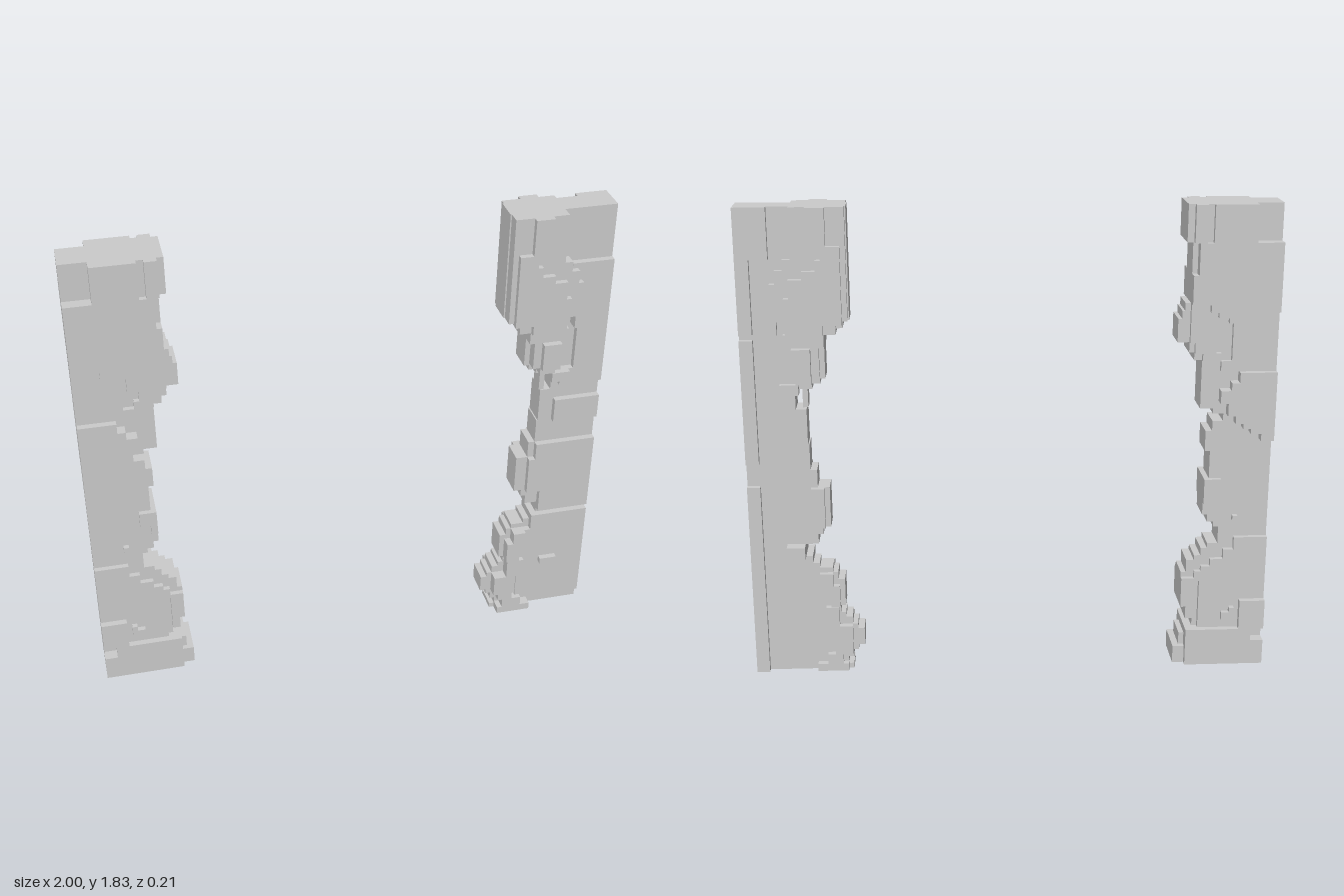
import * as THREE from 'three';

const material = new THREE.MeshStandardMaterial({ color: 0xcccccc, flatShading: true });

// Blocky plate: stacked rows [top y, left x, right x] from y0 upward, between z0 and z1
function plate(group, name, y0, rows, z0, z1) {
  const left = [], right = [];
  let y = y0;
  for (const [top, a, b] of rows) {
    left.push([a, y], [a, top]);
    right.push([b, y], [b, top]);
    y = top;
  }
  const outline = [...right, ...left.reverse()].map(([px, py]) => new THREE.Vector2(px, py));
  const points = outline.filter((p, i) => !p.equals(outline[(i + 1) % outline.length]));
  const geometry = new THREE.ExtrudeGeometry(new THREE.Shape(points), { depth: z1 - z0, bevelEnabled: false });
  geometry.translate(0, 0, z0);
  const mesh = new THREE.Mesh(geometry, material);
  mesh.name = name;
  group.add(mesh);
}

// The same plate on the front and the back of a core
function pair(group, name, y0, rows, inner, outer) {
  plate(group, name + 'Front', y0, rows, inner, outer);
  plate(group, name + 'Back', y0, rows, -outer, -inner);
}

function rightPillar() {
  const g = new THREE.Group();
  g.name = 'rightPillar';
  // full-height core with a stepped inner edge
  const edge = [[.07, -.645], [.12, -.67], [.15, -.69], [.19, -.72], [.24, -.69], [.38, -.67], [.43, -.69],
    [.45, -.72], [.48, -.745], [.5, -.77], [.57, -.81], [.59, -.79], [.62, -.765], [.77, -.745], [.88, -.765],
    [.96, -.745], [1, -.77], [1.03, -.81], [1.05, -.77], [1.24, -.72], [1.27, -.69], [1.31, -.67],
    [1.4, -.625], [1.43, -.64], [1.46, -.65], [1.69, -.67], [1.83, -.645]];
  plate(g, 'core', 0, edge.map(([y, x]) => [y, -1, x]), -.06, .06);
  // foot and lower rocks
  pair(g, 'foot', 0, [[.1, -1, -.69], [.15, -.95, -.69]], .06, .105);
  pair(g, 'footEdge', 0, [[.07, -.69, -.645]], .06, .08);
  pair(g, 'lowerStair', .15, [[.35, -1, -.74], [.39, -1, -.72], [.41, -1, -.745], [.44, -1, -.78],
    [.48, -1, -.83], [.53, -1, -.87]], .06, .08);
  pair(g, 'lowerBlock', .15, [[.27, -1, -.9]], .08, .105);
  pair(g, 'lowerRidge', .19, [[.24, -.72, -.69], [.36, -.72, -.67]], .06, .08);
  pair(g, 'smallKnob', .19, [[.22, -.88, -.83], [.24, -.88, -.86]], .08, .1);
  // middle rocks
  pair(g, 'middleKnob', .6, [[.62, -.88, -.86]], .06, .08);
  pair(g, 'middleBlock', .67, [[.71, -.77, -.745], [.77, -.81, -.745]], .06, .08);
  pair(g, 'middleStair', .93, [[.96, -1, -.95], [.98, -1, -.91], [1, -1, -.88], [1.03, -1, -.85],
    [1.08, -1, -.82], [1.13, -1, -.79], [1.16, -1, -.83], [1.2, -1, -.86]], .06, .105);
  // upper rocks and head
  pair(g, 'neck', 1.2, [[1.24, -1, -.79], [1.46, -1, -.83]], .06, .08);
  pair(g, 'upperStair', 1.24, [[1.27, -.79, -.72], [1.31, -.77, -.69], [1.4, -.81, -.67], [1.46, -.83, -.67]], .06, .08);
  pair(g, 'headUnderside', 1.39, [[1.41, -.9, -.81], [1.43, -.9, -.77], [1.46, -1, -.74]], .08, .105);
  pair(g, 'head', 1.46, [[1.57, -1, -.67], [1.69, -1, -.69], [1.83, -.9, -.74]], .06, .105);
  pair(g, 'headGroove', 1.69, [[1.83, -.74, -.715]], .06, .085);
  pair(g, 'headCorner', 1.69, [[1.83, -.715, -.67]], .06, .105);
  pair(g, 'headEdge', 1.69, [[1.83, -.67, -.645]], .06, .08);
  return g;
}

function leftPillar() {
  const g = new THREE.Group();
  g.name = 'leftPillar';
  // full-height core with a stepped inner edge and a slot
  const edge = [[.02, .62], [.05, .64], [.08, .62], [.1, .6], [.17, .575], [.19, .6], [.22, .62], [.24, .645],
    [.27, .665], [.38, .645], [.41, .67], [.43, .69], [.45, .74], [.48, .765], [.53, .79], [.57, .74],
    [.6, .72], [.76, .69], [.83, .735], [.93, .76], [1.07, .765], [1.15, .805], [1.17, .74], [1.19, .71],
    [1.36, .69], [1.38, .645], [1.41, .62], [1.83, .595]];
  plate(g, 'core', 0, edge.map(([y, x]) => [y, x, 1]), -.06, .035);
  plate(g, 'slotPost', 1.07, [[1.15, .76, .78]], -.03, .03);
  // raised strip along the outer back edge, with gaps
  for (const [a, b] of [[0, .48], [.48, .77], [.86, 1.34], [1.36, 1.64]])
    plate(g, 'backStrip', a, [[b, .95, 1]], -.083, -.06);
  plate(g, 'backTop', 1.64, [[1.83, .88, 1]], -.083, -.06);
  // front slabs of the lower and middle body
  plate(g, 'lowerSlab', .05, [[.19, .72, 1], [.27, .74, 1], [.41, .7, 1], [.48, .765, 1]], .035, .06);
  plate(g, 'middleSlab', .5, [[.6, .79, 1], [.76, .735, 1], [.83, .76, 1]], .035, .06);
  plate(g, 'bandSlab', .93, [[1.03, .82, 1]], .035, .06);
  plate(g, 'bandSlab', 1.1, [[1.17, .83, 1], [1.24, .88, 1]], .035, .06);
  plate(g, 'upperSlab', 1.24, [[1.55, .88, 1], [1.62, .84, 1]], .035, .06);
  plate(g, 'frontKnob', .24, [[.265, .81, .88]], .06, .083);
  plate(g, 'backKnob', .48, [[.53, .79, .86]], -.105, -.06);
  // rocks at the inner foot and waist
  plate(g, 'footRock', 0, [[.03, .64, .78], [.07, .66, .74], [.1, .64, .7], [.19, .62, .71], [.27, .67, .74]], .035, .08);
  plate(g, 'footRockBack', 0, [[.03, .64, .76], [.07, .66, .72], [.19, .62, .69], [.27, .67, .72]], -.085, -.06);
  plate(g, 'kneeRock', .27, [[.36, .665, .72], [.41, .69, .74]], .035, .08);
  plate(g, 'kneeRockBack', .27, [[.36, .665, .7], [.41, .69, .74]], -.083, -.06);
  plate(g, 'waistRockBack', .6, [[.76, .71, .76]], -.083, -.06);
  // neck rocks under the head
  pair(g, 'neckRock', 1.17, [[1.2, .74, .8], [1.31, .71, .82], [1.36, .69, .84]], .035, .08);
  pair(g, 'neckKnob', 1.2, [[1.31, .74, .81]], .08, .105);
  pair(g, 'slotKnob', 1.13, [[1.17, .79, .86]], .035, .083);
  pair(g, 'sideKnob', 1.36, [[1.41, .86, .88]], .035, .083);
  // head: thick inner block with steps fading outward
  pair(g, 'headBase', 1.36, [[1.41, .645, .83], [1.55, .6, .88], [1.6, .6, .86], [1.64, .6, .83], [1.83, .6, .8]], .035, .083);
  pair(g, 'head', 1.36, [[1.4, .69, .81], [1.5, .62, .83], [1.57, .62, .81], [1.6, .62, .76],
    [1.64, .62, .71], [1.69, .62, .69]], .083, .105);
  pair(g, 'headRim', 1.69, [[1.83, .67, .74]], .083, .105);
  return g;
}

export function createModel() {
  const model = new THREE.Group();
  model.name = 'rockPillars';
  model.add(rightPillar(), leftPillar());
  return model;
}
